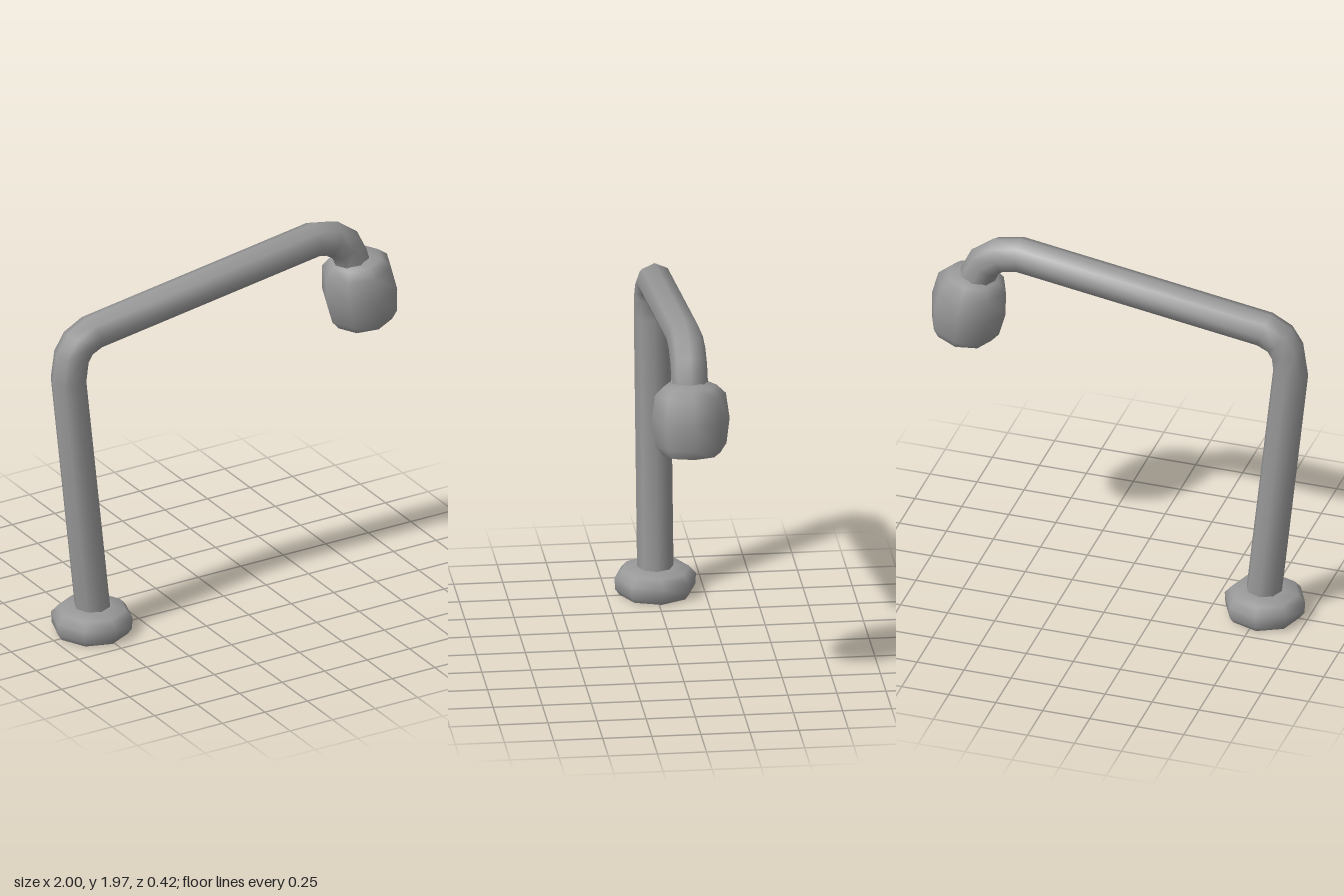
import * as THREE from 'three';
import { mergeGeometries } from 'three/addons/utils/BufferGeometryUtils.js';

const SIDES = 8;
const material = new THREE.MeshStandardMaterial({ color: 0x989898 });

// Curve that places one tube ring exactly at each given point
class BentPath extends THREE.Curve {
  constructor(points) {
    super();
    this.points = points.map(([x, y]) => new THREE.Vector3(x, y, 0));
  }
  getPoint(t) {
    return this.points[Math.round(t * (this.points.length - 1))].clone();
  }
  getPointAt(u, target = new THREE.Vector3()) {
    return target.copy(this.getPoint(u));
  }
  getTangentAt(u, target = new THREE.Vector3()) {
    const p = this.points;
    const i = Math.round(u * (p.length - 1));
    const leg = (a, b) => p[b].clone().sub(p[a]).normalize();
    target.set(0, 0, 0);
    if (i > 0) target.add(leg(i - 1, i));
    if (i < p.length - 1) target.add(leg(i, i + 1));
    return target.normalize();
  }
}

// Low-sided turned part: each profile is smooth, with a sharp edge where two meet
function turned(name, ...profiles) {
  const shells = profiles.map((profile) =>
    new THREE.LatheGeometry(profile.map(([r, y]) => new THREE.Vector2(r, y)), SIDES));
  const mesh = new THREE.Mesh(mergeGeometries(shells), material);
  mesh.name = name;
  return mesh;
}

export function createModel() {
  const group = new THREE.Group();
  group.name = 'lamp';

  // Round foot: flat underside, then rounded side and top
  const base = turned('base',
    [[0, 0], [0.185, 0]],
    [[0.185, 0], [0.206, 0.03], [0.21, 0.09], [0.175, 0.13], [0.1, 0.145], [0, 0.145]]);
  base.position.set(-0.775, 0, 0);
  base.rotation.y = 0.07;

  // Leaning post, long arm and drooping neck in one bent pipe
  const path = new BentPath([
    [-0.762, 0.05], [-0.912, 1.45], [-0.895, 1.575], [-0.855, 1.64], [-0.775, 1.682],
    [0.525, 1.877], [0.635, 1.857], [0.713, 1.8], [0.755, 1.71], [0.775, 1.63],
  ]);
  const pipe = new THREE.Mesh(
    new THREE.TubeGeometry(path, path.points.length - 1, 0.093, SIDES, false), material);
  pipe.name = 'bentArm';

  // Barrel-shaped head: recessed floor, recess wall, rim, then the rounded body
  const head = turned('lampHead',
    [[0, -0.163], [0.1, -0.163]],
    [[0.1, -0.163], [0.106, -0.178]],
    [[0.106, -0.178], [0.148, -0.178]],
    [[0.148, -0.178], [0.18, -0.13], [0.198, 0], [0.181, 0.13], [0.135, 0.175],
      [0.06, 0.195], [0, 0.195]]);
  head.position.set(0.8, 1.535, 0);
  head.rotation.z = 0.14;

  group.add(base, pipe, head);
  return group;
}
